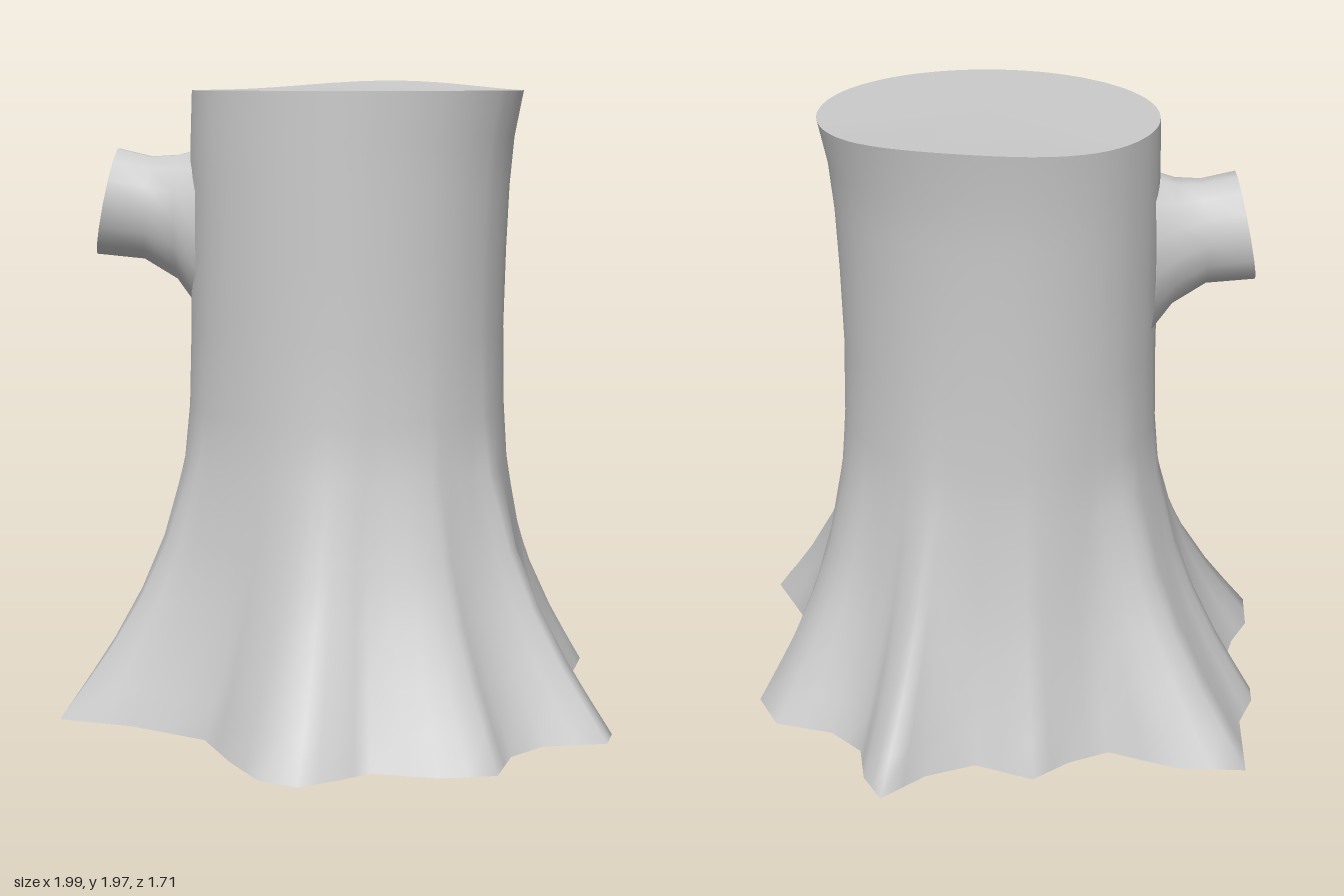
import * as THREE from 'three';

const material = new THREE.MeshStandardMaterial({ color: 0xcccccc, side: THREE.DoubleSide });

// Smooth skin through closed rings of equal length
function loft(rings, name) {
  const n = rings[0].length, index = [];
  for (let i = 0; i < rings.length - 1; i++) {
    for (let j = 0; j < n; j++) {
      const k = (j + 1) % n, a = i * n + j, b = i * n + k;
      index.push(a, b, b + n, a, b + n, a + n);
    }
  }
  return makeMesh(rings.flat(), index, name);
}

// Flat cut face closing a ring
function cap(ring, name) {
  const n = ring.length, center = new THREE.Vector3();
  ring.forEach(p => center.addScaledVector(p, 1 / n));
  const index = [];
  for (let j = 0; j < n; j++) index.push(n, j, (j + 1) % n);
  return makeMesh([...ring, center], index, name);
}

function makeMesh(points, index, name) {
  const geometry = new THREE.BufferGeometry().setFromPoints(points);
  geometry.setIndex(index);
  geometry.computeVertexNormals();
  const mesh = new THREE.Mesh(geometry, material);
  mesh.name = name;
  return mesh;
}

// Outline of the spreading roots on the ground (x, z)
const roots = [
  [0.99, -0.02], [0.96, -0.10], [0.69, -0.24], [0.58, -0.42], [0.56, -0.54], [0.50, -0.69],
  [0.36, -0.76], [0.18, -0.69], [0.04, -0.71], [-0.06, -0.81], [-0.17, -0.86], [-0.21, -0.69],
  [-0.30, -0.55], [-0.49, -0.50], [-0.53, -0.36], [-0.60, -0.24], [-0.82, -0.18], [-1.0, -0.06],
  [-0.85, 0.16], [-0.82, 0.29], [-0.78, 0.35], [-0.64, 0.40], [-0.58, 0.57], [-0.56, 0.70],
  [-0.47, 0.84], [-0.25, 0.75], [0.01, 0.70], [0.19, 0.79], [0.35, 0.85], [0.47, 0.82],
  [0.53, 0.71], [0.57, 0.61], [0.75, 0.52], [0.87, 0.40], [0.82, 0.25], [0.85, 0.12],
];

// Per level: height, share of root outline, share of the wider top outline
const levels = [
  [0, 1, 0], [0.1, 0.83, 0], [0.21, 0.65, 0], [0.37, 0.43, 0], [0.54, 0.25, 0], [0.78, 0.08, 0],
  [0.95, 0.025, 0], [1.2, 0, 0], [1.45, 0, 0.1], [1.65, 0, 0.25], [1.8, 0, 0.5], [1.94, 0, 1],
];

function trunkRings() {
  const outline = roots.flatMap((p, i) => {
    const q = roots[(i + 1) % roots.length];
    return [p, [(p[0] + q[0]) / 2, (p[1] + q[1]) / 2]];
  });
  return levels.map(([y, spread, flare]) => outline.map(([x, z]) => {
    const a = Math.atan2(z, x), c = Math.cos(a), s = Math.sin(a);
    const mx = 0.03 + 0.505 * c + flare * (0.015 + 0.02 * c);
    const mz = 0.02 + 0.487 * s + flare * (-0.035 + 0.028 * s);
    // The cut rises slightly at the back
    const rise = flare * 0.03 * Math.max(0, Math.cos(a + 2.0)) ** 4;
    return new THREE.Vector3(mx + (x - mx) * spread, y + rise, mz + (z - mz) * spread);
  }));
}

// Branch stub rings: centre x, y, z, vertical radius, horizontal radius, tilt
function branchRings() {
  const sections = [
    [-0.37, 1.50, 0.27, 0.26, 0.22, 0],
    [-0.43, 1.54, 0.31, 0.20, 0.165, 0],
    [-0.50, 1.57, 0.37, 0.165, 0.14, 0.01],
    [-0.605, 1.59, 0.445, 0.17, 0.14, 0.03],
  ];
  const n = 14;
  return sections.map(([x, y, z, rv, rh, tilt]) => Array.from({ length: n }, (_, j) => {
    const a = j / n * Math.PI * 2, h = rh * Math.cos(a), v = Math.sin(a);
    return new THREE.Vector3(x + 0.61 * h + tilt * v, y + rv * v, z + 0.79 * h - tilt * v * 0.7);
  }));
}

export function createModel() {
  const group = new THREE.Group();
  group.name = 'treeStump';
  const trunk = trunkRings(), branch = branchRings();
  group.add(
    loft(trunk, 'trunkBark'),
    cap(trunk[trunk.length - 1], 'trunkCut'),
    loft(branch, 'branchStub'),
    cap(branch[branch.length - 1], 'branchCut'),
  );
  return group;
}
